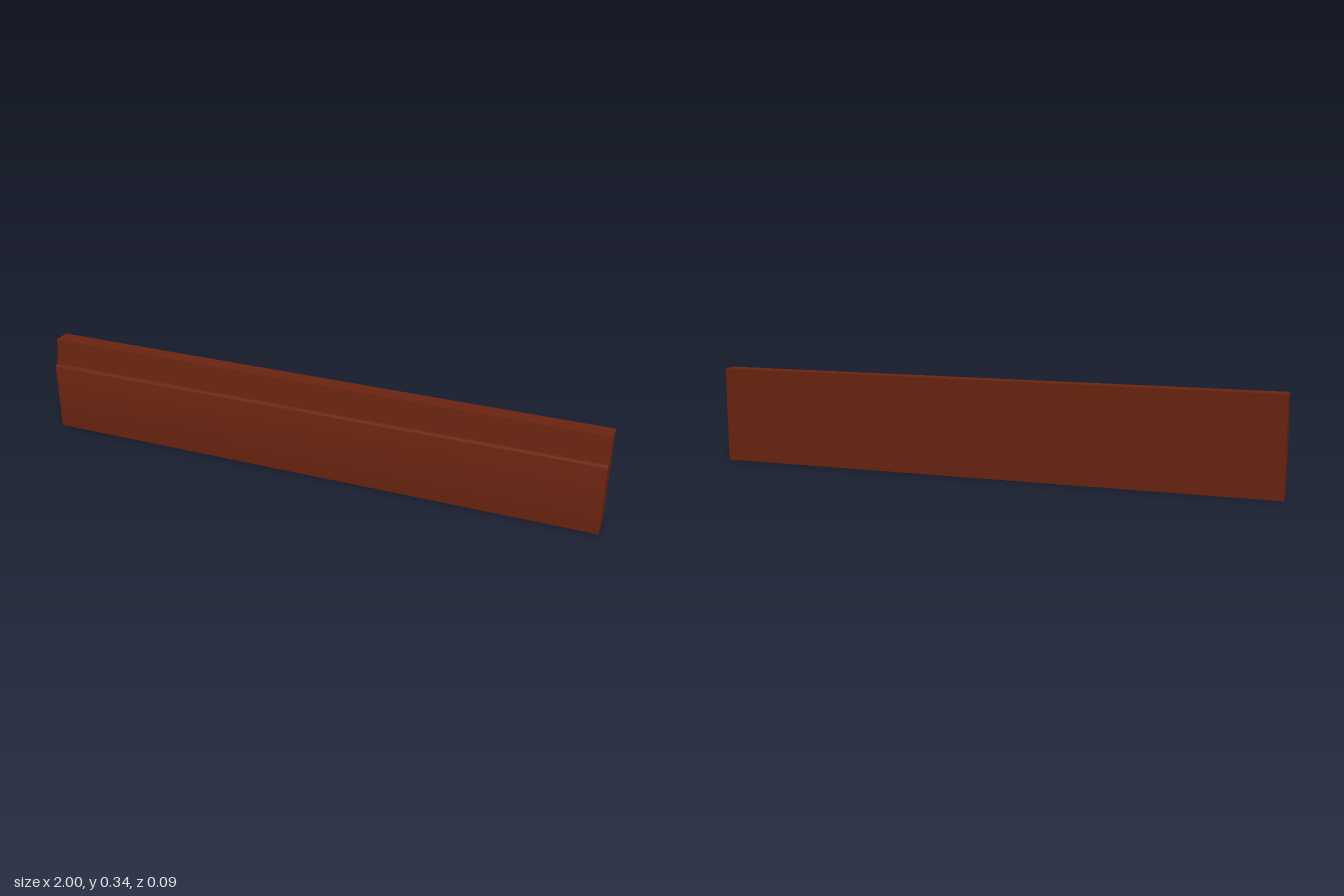
import * as THREE from 'three';
import { toCreasedNormals } from 'three/addons/utils/BufferGeometryUtils.js';

const LENGTH = 2;

// Cross-section of the moulding; shape x is -z, shape y is height
function mouldingProfile() {
  const s = new THREE.Shape();
  s.moveTo(0.0425, 0);
  s.lineTo(0.0425, 0.341);
  s.lineTo(-0.015, 0.341);
  s.lineTo(-0.0285, 0.25); // sloping upper face
  s.lineTo(-0.0345, 0.25); // small ledge
  s.absarc(-0.0345, 0.242, 0.008, Math.PI / 2, Math.PI, false); // rounded lip
  s.lineTo(-0.0425, 0);
  s.closePath();
  return s;
}

export function createModel() {
  const group = new THREE.Group();
  group.name = 'baseboard';

  // Run the profile along x
  const extruded = new THREE.ExtrudeGeometry(mouldingProfile(), {
    depth: LENGTH, bevelEnabled: false, curveSegments: 8,
  });
  extruded.translate(0, 0, -LENGTH / 2);
  extruded.rotateY(Math.PI / 2);

  const board = new THREE.Mesh(
    toCreasedNormals(extruded, Math.PI / 6),
    new THREE.MeshStandardMaterial({ color: 0x6b2410 }),
  );
  board.name = 'mouldingBoard';
  group.add(board);
  return group;
}
